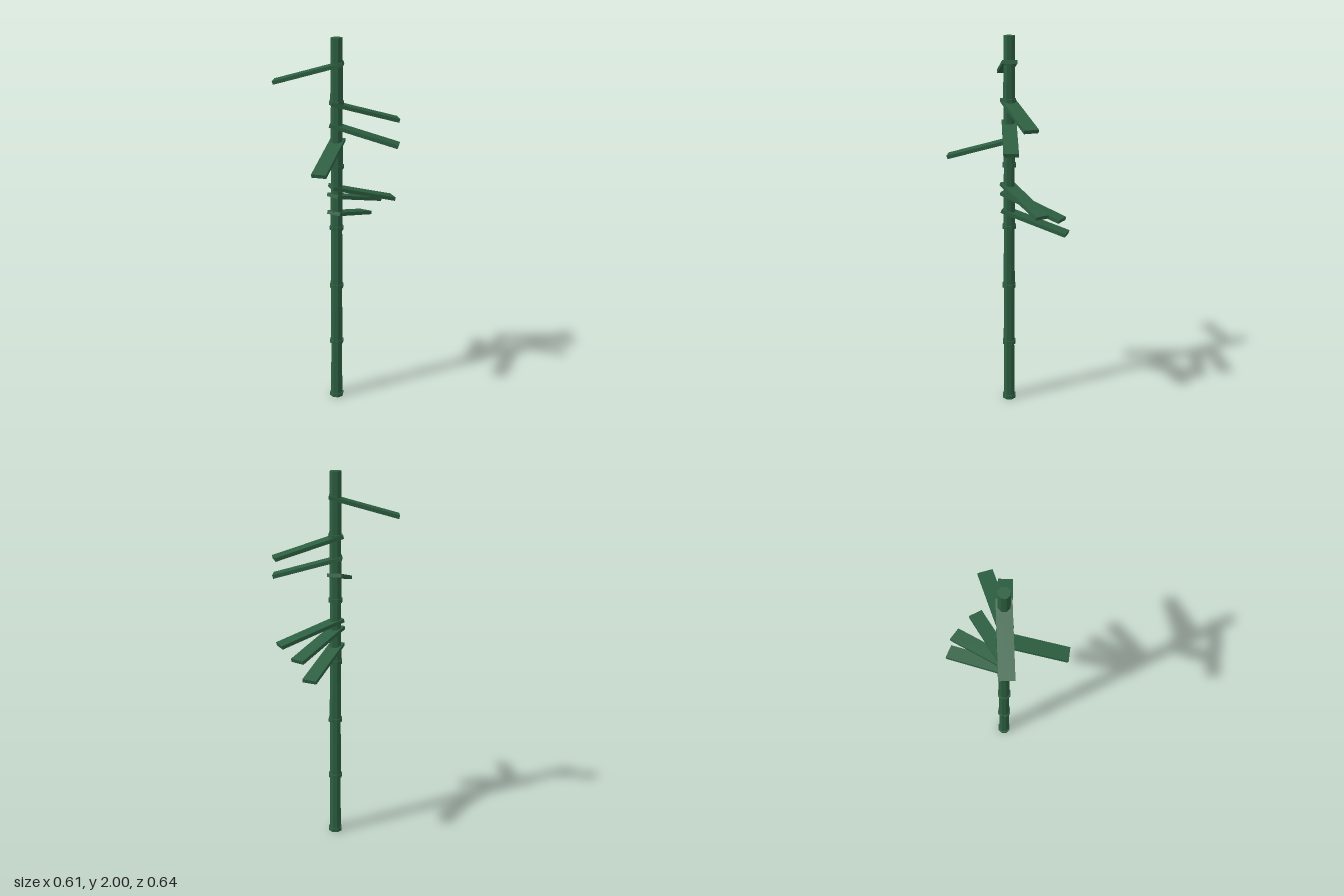
import * as THREE from 'three';

export function createModel() {
  const model = new THREE.Group();
  model.name = 'bambooStalk';
  const green = new THREE.MeshStandardMaterial({ color: 0x2d5f41, flatShading: true });
  green.name = 'bamboo green';

  const plant = new THREE.Group();
  plant.name = 'plant';
  plant.position.x = -0.003;
  model.add(plant);

  const add = (name, geometry, parent, y) => {
    const mesh = new THREE.Mesh(geometry, green);
    mesh.name = name;
    mesh.position.y = y;
    parent.add(mesh);
    return mesh;
  };

  // Six slightly tapered octagonal segments, each with a node ring at its foot
  const count = 6, height = 2 / count;
  const segment = new THREE.CylinderGeometry(0.03, 0.033, height, 8);
  const ring = new THREE.CylinderGeometry(0.038, 0.038, 0.02, 8);
  for (let i = 0; i < count; i++) {
    add('stalkSegment' + (i + 1), segment, plant, (i + 0.5) * height);
    add('nodeRing' + (i + 1), ring, plant, i * height + 0.01);
  }

  // Drooping plank leaves: height at the stalk, then direction of the tip (x, z)
  const leaves = [
    [1.865, -0.284, 0.145],
    [1.668, 0.237, -0.21],
    [1.557, 0.291, -0.128],
    [1.472, 0.094, 0.305],
    [1.229, 0.193, -0.257],
    [1.184, 0.056, -0.313],
    [1.09, -0.014, -0.318],
  ];
  const blade = new THREE.BoxGeometry(0.363, 0.019, 0.075);
  blade.translate(0.148, 0, 0);
  blade.rotateZ(-0.27);
  leaves.forEach(([y, x, z], i) => {
    add('leaf' + (i + 1), blade, plant, y).rotation.y = Math.atan2(-z, x);
  });

  return model;
}
